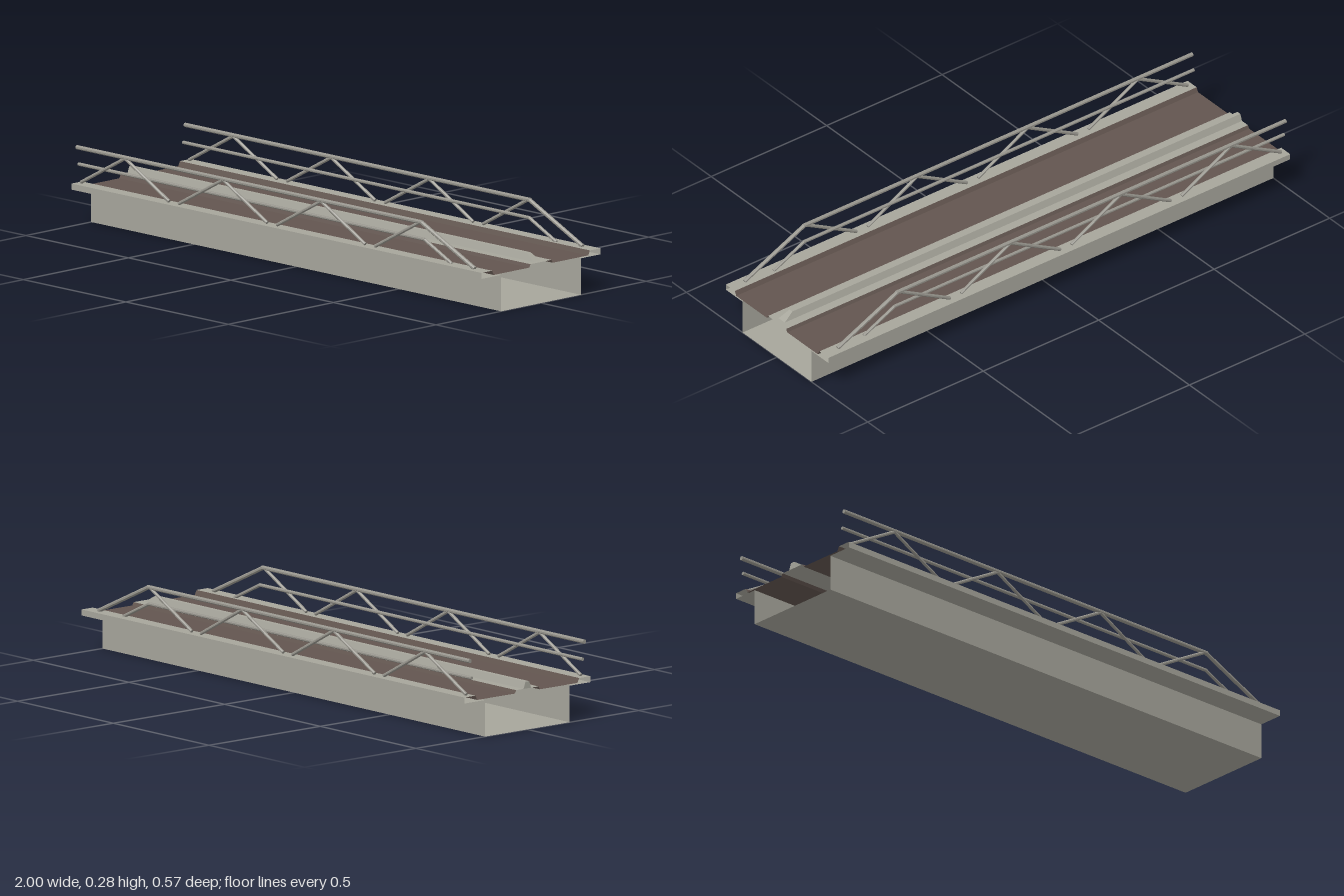
import * as THREE from 'three';

const concrete = new THREE.MeshStandardMaterial({ color: 0xa6a59b, side: THREE.DoubleSide, flatShading: true });
concrete.name = 'concrete';
const asphalt = new THREE.MeshStandardMaterial({ color: 0x62554f, side: THREE.DoubleSide, flatShading: true });
asphalt.name = 'brown road surface';
const steel = new THREE.MeshStandardMaterial({ color: 0x97958d, flatShading: true });
steel.name = 'railing steel';

// Open sheet: a [z, y] profile swept along x from -1 to x1
function sheet(name, profile, material) {
  const pos = [];
  for (let i = 0; i < profile.length - 1; i++) {
    const [za, ya] = profile[i], [zb, yb] = profile[i + 1];
    const a = [-1, ya, za], b = [1, ya, za], c = [1, yb, zb], d = [-1, yb, zb];
    pos.push(...a, ...b, ...c, ...a, ...c, ...d);
  }
  const geo = new THREE.BufferGeometry();
  geo.setAttribute('position', new THREE.Float32BufferAttribute(pos, 3));
  geo.computeVertexNormals();
  const mesh = new THREE.Mesh(geo, material);
  mesh.name = name;
  return mesh;
}

// Straight eight-sided bar between two [x, y] points at depth z
function bar(name, a, b, z, r) {
  const from = new THREE.Vector3(a[0], a[1], z), to = new THREE.Vector3(b[0], b[1], z);
  const dir = to.clone().sub(from);
  const geo = new THREE.CylinderGeometry(r, r, dir.length(), 8);
  geo.rotateY(Math.PI / 8);
  const mesh = new THREE.Mesh(geo, steel);
  mesh.position.copy(from).add(to).multiplyScalar(0.5);
  mesh.quaternion.setFromUnitVectors(new THREE.Vector3(0, 1, 0), dir.normalize());
  mesh.name = name;
  return mesh;
}

// Truss railing on one side
function railing(s) {
  const g = new THREE.Group();
  g.name = s > 0 ? 'frontRailing' : 'backRailing';
  const zo = s * 0.257, zi = s * 0.249, r = 0.0075, ri = 0.006;
  g.add(bar('topRail', [-1, 0.271], [0.685, 0.271], zo, r));
  g.add(bar('topRailSlope', [0.68, 0.271], [0.94, 0.15], zo, r));
  g.add(bar('middleRail', [-1, 0.211], [0.69, 0.211], zi, ri));
  g.add(bar('middleRailSlope', [0.687, 0.211], [0.82, 0.147], zi, ri));
  for (let i = 0; i < 4; i++) {
    const x = -0.765 + i * 0.478;
    g.add(bar('risingBrace', [x - 0.215, 0.152], [x, 0.268], zo, 0.006));
    if (i < 3) g.add(bar('fallingBrace', [x, 0.268], [x + 0.215, 0.152], zo, 0.006));
  }
  return g;
}

// Tapered ridge along the middle, with a sloping end
function medianBarrier() {
  const geo = new THREE.BoxGeometry(2, 0.024, 0.034);
  const p = geo.attributes.position;
  for (let i = 0; i < p.count; i++) {
    const top = p.getY(i) > 0;
    if (top) p.setZ(i, p.getZ(i) * 0.47);
    if (p.getX(i) > 0) p.setX(i, top ? 0.94 : 0.98);
  }
  geo.translate(0, 0.155, 0);
  geo.computeVertexNormals();
  const mesh = new THREE.Mesh(geo, concrete);
  mesh.name = 'medianBarrier';
  return mesh;
}

export function createModel() {
  const model = new THREE.Group();
  model.name = 'bridgeSection';

  // Open-ended box girder
  model.add(sheet('girder', [[0.19, 0.128], [0.19, 0], [-0.19, 0], [-0.19, 0.128]], concrete));

  // Raised strip between the lanes
  model.add(sheet('median', [[0.05, 0.143], [-0.05, 0.143]], concrete));
  model.add(medianBarrier());

  for (const s of [1, -1]) {
    // Overhanging kerb
    model.add(sheet('kerb', [[0.19, 0.127], [0.283, 0.127], [0.283, 0.148], [0.233, 0.148]].map(([z, y]) => [s * z, y]), concrete));
    // Sunken lane with raised lips
    model.add(sheet('lane', [[0.233, 0.148], [0.225, 0.132], [0.056, 0.132], [0.05, 0.143]].map(([z, y]) => [s * z, y]), asphalt));
    model.add(railing(s));
  }
  return model;
}
